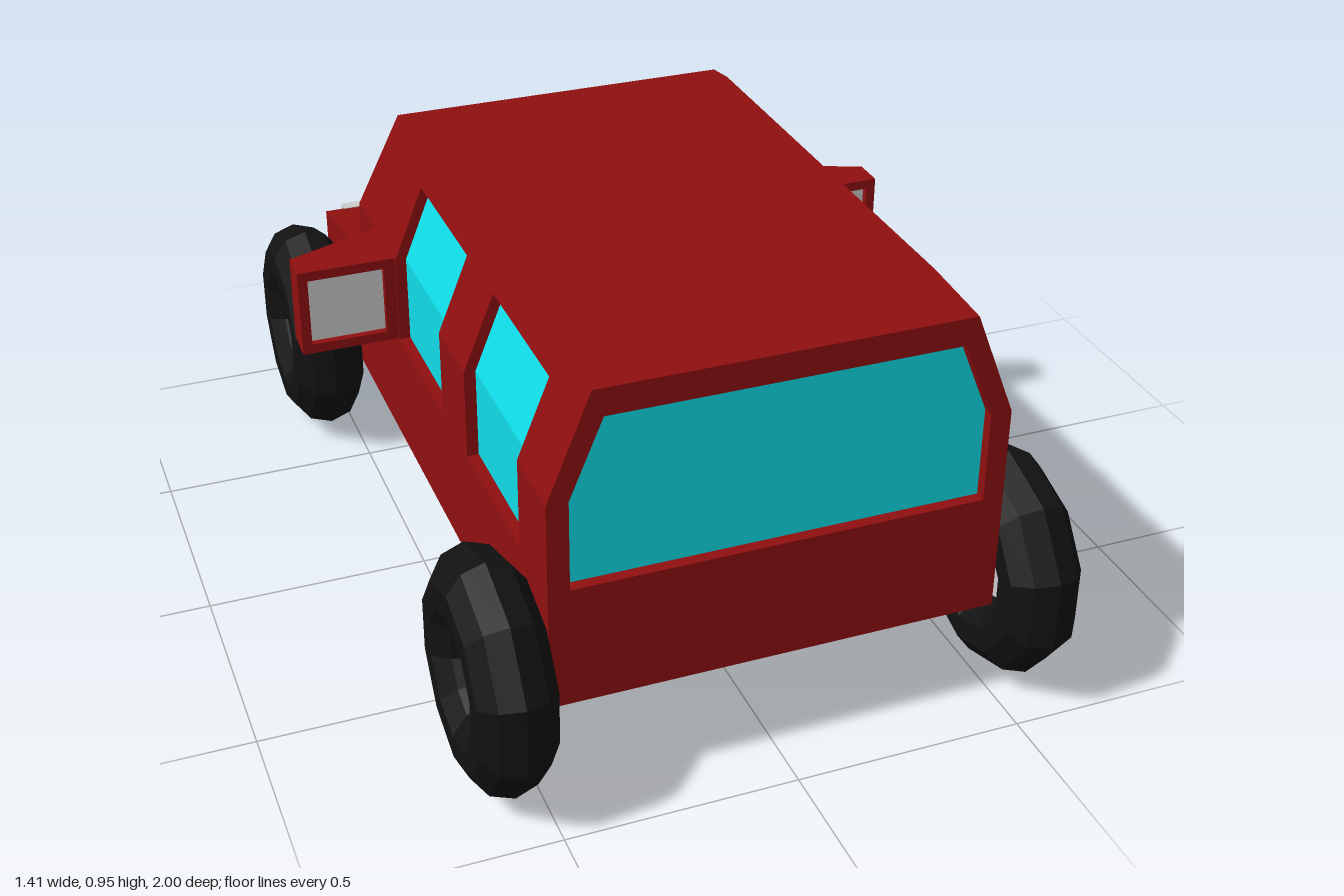
import * as THREE from 'three';

const mat = (color, side = THREE.FrontSide) =>
  new THREE.MeshStandardMaterial({ color, flatShading: true, side });
const RED = mat(0x900f10, THREE.DoubleSide);
const CYAN = mat(0x10dde8, THREE.DoubleSide);
const BLACK = mat(0x121212);
const GREY = mat(0xcccccc, THREE.DoubleSide);
const ORANGE = mat(0xcc6608);

const T = 0.025; // wall thickness, also the depth of the window recesses

// half width of the body at a height: upright sides, then leaning in above the shoulder
const SHOULDER = 0.7;
const halfWidth = (y) => 0.485 - Math.max(0, y - SHOULDER) * 0.4;
// distance of the raked windscreen from the centre at a height
const screenDist = (y) => 0.52 - (y - 0.56) * 0.2162;

function add(parent, name, geometry, material) {
  const mesh = new THREE.Mesh(geometry, material);
  mesh.name = name;
  parent.add(mesh);
  return mesh;
}

const toShape = (pts, holes = []) => {
  const shape = new THREE.Shape(pts.map(([u, v]) => new THREE.Vector2(u, v)));
  holes.forEach((h) => shape.holes.push(new THREE.Path(h.map(([u, v]) => new THREE.Vector2(u, v)))));
  return shape;
};
const extrude = (shape, depth) => new THREE.ExtrudeGeometry(shape, { depth, bevelEnabled: false });
const rect = (cx, cy, w, h) =>
  [[cx - w / 2, cy - h / 2], [cx + w / 2, cy - h / 2], [cx + w / 2, cy + h / 2], [cx - w / 2, cy + h / 2]];

// moves an outward-facing panel to its wall, dist(y) away from the centre
function place(geometry, angle, dist) {
  const p = geometry.attributes.position;
  for (let i = 0; i < p.count; i++) p.setZ(i, p.getZ(i) - T + dist(p.getY(i)));
  geometry.rotateY(angle);
  geometry.computeVertexNormals();
  return geometry;
}

// strip across the body along a [z, y] profile
function ribbon(profile) {
  const v = [];
  for (let i = 0; i + 1 < profile.length; i++) {
    const [[az, ay], [bz, by]] = [profile[i], profile[i + 1]];
    const [aw, bw] = [halfWidth(ay), halfWidth(by)];
    v.push(-aw, ay, az, aw, ay, az, bw, by, bz, -aw, ay, az, bw, by, bz, -bw, by, bz);
  }
  const g = new THREE.BufferGeometry();
  g.setAttribute('position', new THREE.Float32BufferAttribute(v, 3));
  g.computeVertexNormals();
  return g;
}

function buildBody() {
  const body = new THREE.Group();
  body.name = 'body';
  add(body, 'roof', ribbon([[0.88, 0.93], [0.71, 0.95], [-0.34, 0.95], [-0.44, 0.93]]), RED);
  add(body, 'hoodNoseAndFloor', ribbon([[-0.52, 0.56], [-0.88, 0.5], [-0.88, 0.23], [0.88, 0.23]]), RED);

  // side walls: a lower and an upper half, notched for the windows
  const windows = [[-0.17, 0.18], [0.36, 0.71]];
  const [sill, head] = [0.5, 0.87];
  const notches = (y) => windows.flatMap(([a, b]) => [[a, SHOULDER], [a, y], [b, y], [b, SHOULDER]]);
  const foot = -screenDist(SHOULDER);
  const lower = [[0.88, SHOULDER], [0.88, 0.23], [-0.88, 0.23], [-0.88, 0.5], [-0.52, 0.56],
    [foot, SHOULDER], ...notches(sill)];
  const upper = [[0.88, SHOULDER], [0.88, 0.93], [0.71, 0.95], [-0.34, 0.95], [-0.44, 0.93],
    [foot, SHOULDER], ...notches(head)];
  for (const s of [1, -1]) {
    const side = s > 0 ? 'left' : 'right';
    const onWall = (pts) => toShape(pts.map(([z, y]) => [-s * z, y]));
    const angle = s * Math.PI / 2;
    add(body, side + 'LowerSide', place(extrude(onWall(lower), T), angle, halfWidth), RED);
    add(body, side + 'UpperSide', place(extrude(onWall(upper), T), angle, halfWidth), RED);
    for (const [a, b] of windows)
      for (const [y0, y1] of [[sill, SHOULDER], [SHOULDER, head]]) {
        const pane = onWall([[a, y0], [b, y0], [b, y1], [a, y1]]);
        add(body, side + 'Window', place(new THREE.ShapeGeometry(pane), angle, halfWidth), CYAN);
      }
  }

  // end walls, each with one large window
  const endWall = (name, bottom, hole, angle, dist) => {
    const mirrored = (pts) => [...pts, ...pts.map(([x, y]) => [-x, y]).reverse()];
    const outline = mirrored([[0.485, bottom], [0.485, SHOULDER], [halfWidth(0.93), 0.93]]);
    const opening = mirrored(hole);
    add(body, name + 'Frame', place(extrude(toShape(outline, [opening]), T), angle, dist), RED);
    add(body, name + 'Glass', place(new THREE.ShapeGeometry(toShape(opening)), angle, dist), CYAN);
  };
  endWall('rearWindow', 0.23, [[0.44, 0.5], [0.44, 0.7], [0.37, 0.87]], 0, () => 0.88);
  endWall('windscreen', 0.56, [[0.44, 0.575], [0.44, 0.7], [0.37, 0.88]], Math.PI, screenDist);
  return body;
}

function buildMirror(s) {
  const mirror = new THREE.Group();
  mirror.name = s > 0 ? 'leftMirror' : 'rightMirror';
  const [back, top, h] = [-0.2, 0.705, 0.205];
  // tapered housing, its underside rising towards the front
  const plan = [[0.48, 0.34], [0.707, 0.25], [0.707, -back], [0.48, -back]];
  const housing = extrude(toShape(plan.map(([x, z]) => [s * x, z])), h);
  housing.rotateX(-Math.PI / 2).translate(0, top - h, 0);
  const p = housing.attributes.position;
  for (let i = 0; i < p.count; i++)
    if (p.getY(i) < 0.6) p.setY(i, p.getY(i) + (back - p.getZ(i)) * 0.2);
  housing.computeVertexNormals();
  add(mirror, 'mirrorHousing', housing, RED);
  // rim around the recessed glass
  const cy = top - h / 2;
  const rim = extrude(toShape(rect(s * 0.5935, cy, 0.227, h), [rect(s * 0.598, cy, 0.174, 0.16)]), 0.025);
  add(mirror, 'mirrorRim', rim.translate(0, 0, back), RED);
  add(mirror, 'mirrorGlass', new THREE.PlaneGeometry(0.176, 0.162), GREY)
    .position.set(s * 0.598, cy, back + 0.008);
  return mirror;
}

function buildHeadlight(s) {
  const light = new THREE.Group();
  light.name = s > 0 ? 'leftHeadlight' : 'rightHeadlight';
  add(light, 'headlightRim', extrude(toShape(rect(0, 0, 0.148, 0.145), [rect(0, 0, 0.112, 0.11)]), 0.03), GREY);
  add(light, 'headlightLens', new THREE.BoxGeometry(0.114, 0.112, 0.012), ORANGE).position.z = 0.018;
  light.rotation.y = Math.PI;
  light.position.set(s * 0.365, 0.43, -0.875);
  return light;
}

function buildWheel(x, z) {
  const wheel = new THREE.Group();
  wheel.name = (z < 0 ? 'front' : 'rear') + (x > 0 ? 'Left' : 'Right') + 'Wheel';
  const turn = (g) => g.rotateZ(Math.PI / 2).rotateY(Math.PI / 2);
  add(wheel, 'tyre', turn(new THREE.TorusGeometry(0.171, 0.086, 10, 10)), BLACK);
  add(wheel, 'hub', turn(new THREE.CylinderGeometry(0.1, 0.1, 0.05, 10).rotateX(Math.PI / 2)), GREY);
  wheel.position.set(x, 0.257, z);
  return wheel;
}

export function createModel() {
  const car = new THREE.Group();
  car.name = 'car';
  car.add(buildBody());
  for (const s of [1, -1]) {
    car.add(buildMirror(s), buildHeadlight(s));
    for (const z of [-0.7556, 0.7556]) car.add(buildWheel(s * 0.568, z));
  }
  return car;
}
